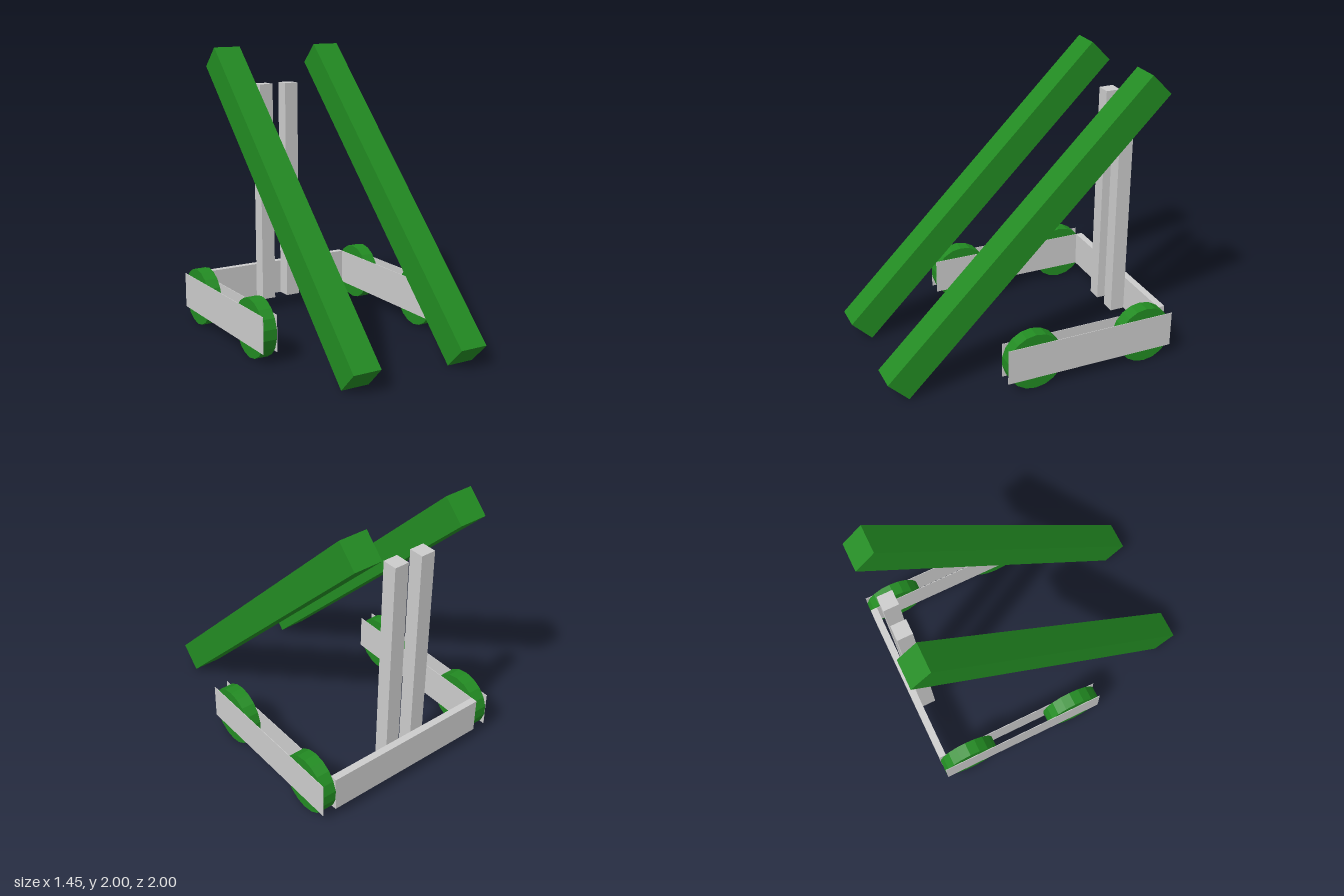
import * as THREE from 'three';

export function createModel() {
  const group = new THREE.Group();
  const grey = new THREE.MeshStandardMaterial({ color: 0xcccccc, flatShading: true });
  const green = new THREE.MeshStandardMaterial({ color: 0x228b22, flatShading: true });

  const add = (name, geometry, material, x, y, z) => {
    const mesh = new THREE.Mesh(geometry, material);
    mesh.name = name;
    mesh.position.set(x, y, z);
    group.add(mesh);
    return mesh;
  };

  // Low-poly wheel with its axle along x, flat facet at the bottom
  const wheelShape = new THREE.CylinderGeometry(0.206, 0.206, 0.097, 18);
  wheelShape.rotateZ(Math.PI / 2);
  wheelShape.rotateX(Math.PI / 2);

  for (const [side, s] of [['left', 1], ['right', -1]]) {
    // Wheels held between two thin plates
    for (const [end, z] of [['Front', 0.037], ['Rear', -0.794]]) {
      add(`${side}${end}Wheel`, wheelShape, green, s * 0.67, 0.203, z);
    }
    for (const [place, x] of [['Inner', 0.62], ['Outer', 0.722]]) {
      add(`${side}${place}Plate`, new THREE.BoxGeometry(0.004, 0.255, 1.235), grey, s * x, 0.207, -0.378);
    }
    // Upright post in front of the crossbar
    add(`${side}Post`, new THREE.BoxGeometry(0.105, 1.64, 0.105), grey, s * 0.105, 0.9, -0.895);

    // Long beam sloping up towards the back
    const beam = add(`${side}Beam`, new THREE.BoxGeometry(0.202, 0.202, 2.626), green, s * 0.41, 1, 0);
    beam.rotation.x = Math.PI / 4;
  }

  // Rear crossbar joining the two wheel frames
  add('crossbar', new THREE.BoxGeometry(1.24, 0.255, 0.05), grey, 0, 0.207, -0.973);

  return group;
}
